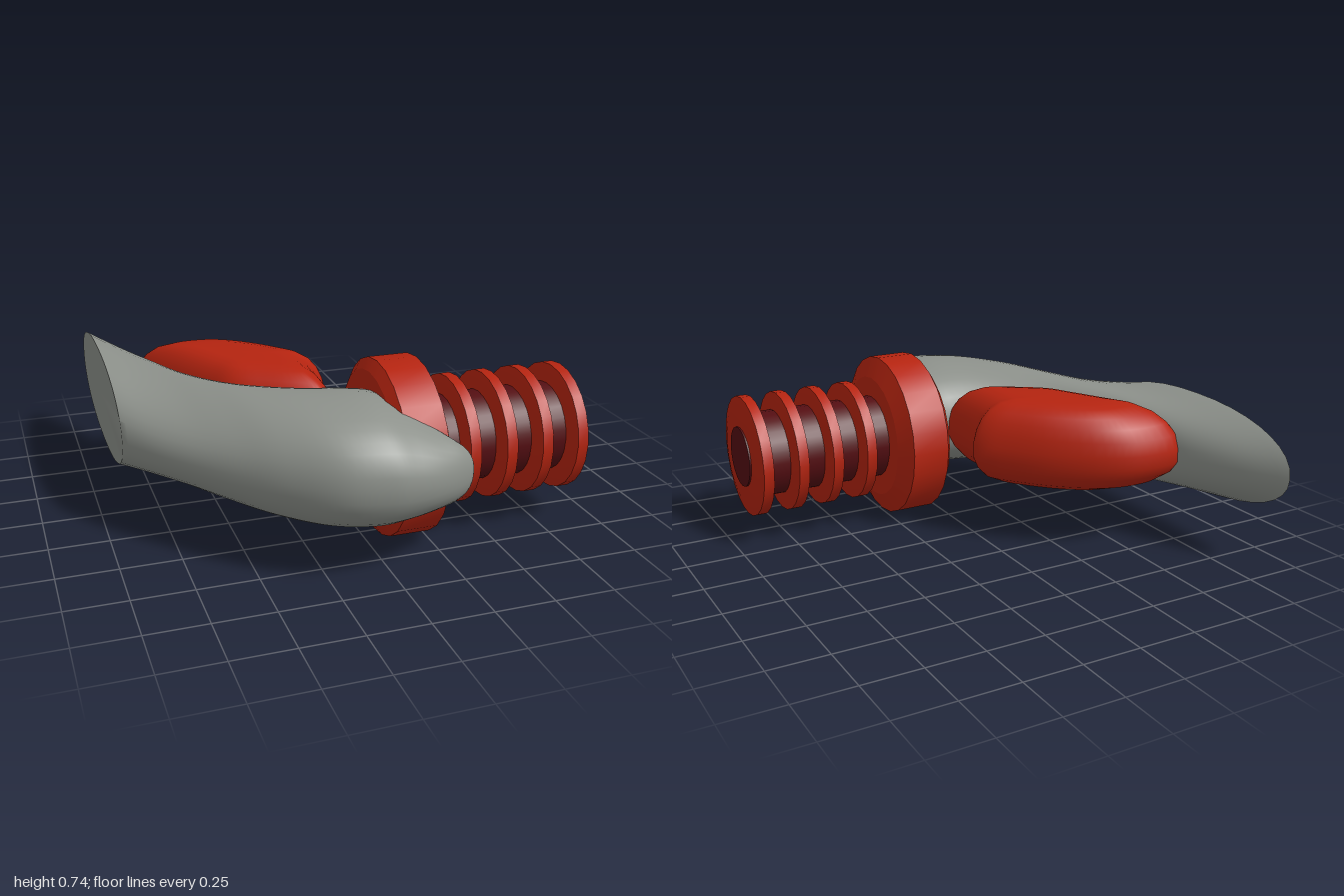
import * as THREE from 'three';
import { toCreasedNormals } from 'three/addons/utils/BufferGeometryUtils.js';

const material = (name, color) => {
  const m = new THREE.MeshStandardMaterial({ color });
  m.name = name;
  return m;
};

// Skins a stack of closed rings and closes both ends
function loft(rings, crease) {
  const n = rings[0].length;
  const points = rings.flat();
  const index = [];
  for (let i = 0; i < rings.length - 1; i++) {
    for (let j = 0; j < n; j++) {
      const a = i * n + j, b = i * n + (j + 1) % n;
      index.push(a, a + n, b, b, a + n, b + n);
    }
  }
  const addCap = (start, flip) => {
    const centre = new THREE.Vector3();
    for (let j = 0; j < n; j++) centre.addScaledVector(points[start + j], 1 / n);
    const c = points.push(centre) - 1;
    for (let j = 0; j < n; j++) {
      const a = start + j, b = start + (j + 1) % n;
      if (flip) index.push(c, b, a);
      else index.push(c, a, b);
    }
  };
  addCap(0, false);
  addCap((rings.length - 1) * n, true);
  const geo = new THREE.BufferGeometry().setFromPoints(points);
  geo.setIndex(index);
  return toCreasedNormals(geo, crease);
}

// Turned part along the x axis from [x, radius] pairs
function turned(profile) {
  const pts = profile.map(([x, r]) => new THREE.Vector2(r, x));
  const geo = new THREE.LatheGeometry(pts, 24);
  geo.rotateZ(-Math.PI / 2);
  return toCreasedNormals(geo, 0.35);
}

export function createModel() {
  const group = new THREE.Group();
  const grey = material('grey', 0x8d918b);
  const red = material('red', 0xb52410);
  const darkRed = material('dark red', 0x540e12);

  const add = (name, geo, mat, parent = group) => {
    const mesh = new THREE.Mesh(geo, mat);
    mesh.name = name;
    parent.add(mesh);
    return mesh;
  };

  // Curved body: outer x, z, inner x, z, top, bottom of each section
  const sections = [
    [-0.92, 0.22, -0.92, -1.0, 0.63, 0.195],
    [-0.82, 0.36, -0.80, -0.77, 0.605, 0.212],
    [-0.70, 0.51, -0.715, -0.56, 0.60, 0.215],
    [-0.55, 0.68, -0.62, -0.25, 0.615, 0.205],
    [-0.40, 0.83, -0.47, 0.03, 0.64, 0.19],
    [-0.22, 0.96, -0.25, 0.22, 0.66, 0.175],
    [-0.05, 1.0, -0.05, 0.29, 0.66, 0.17],
    [0.05, 0.995, 0.06, 0.28, 0.63, 0.18],
    [0.16, 0.97, 0.15, 0.50, 0.575, 0.22],
    [0.27, 0.92, 0.20, 0.72, 0.525, 0.26],
    [0.32, 0.88, 0.23, 0.77, 0.49, 0.285],
    [0.34, 0.83, 0.25, 0.78, 0.45, 0.32],
    [0.325, 0.785, 0.27, 0.772, 0.40, 0.355],
  ];
  const outer = new THREE.CatmullRomCurve3(sections.map(s => new THREE.Vector3(s[0], s[4], s[1])));
  const inner = new THREE.CatmullRomCurve3(sections.map(s => new THREE.Vector3(s[2], s[5], s[3])));
  const soften = v => Math.sign(v) * Math.abs(v) ** 0.9;
  const bodyRings = [];
  for (let i = 0; i <= 60; i++) {
    const o = outer.getPoint(i / 60), p = inner.getPoint(i / 60);
    const ring = [];
    for (let j = 0; j < 36; j++) {
      const a = j / 36 * Math.PI * 2;
      const c = soften(Math.cos(a)) / 2, s = soften(Math.sin(a)) / 2;
      ring.push(new THREE.Vector3(
        (o.x + p.x) / 2 + (o.x - p.x) * c,
        (o.y + p.y) / 2 + (o.y - p.y) * s,
        (o.z + p.z) / 2 + (o.z - p.z) * c));
    }
    bodyRings.push(ring);
  }
  add('curvedBody', loft(bodyRings, 0.8), grey);

  // Pillow-shaped wedge in the hollow of the body
  const outline = new THREE.CatmullRomCurve3([
    [-0.745, -0.50], [-0.71, -0.54], [-0.52, -0.55], [-0.38, -0.50], [-0.20, -0.36],
    [-0.05, -0.19], [0.015, -0.10], [0.03, -0.05], [0, 0], [-0.02, 0.12], [-0.025, 0.29],
    [-0.06, 0.34], [-0.14, 0.32], [-0.30, 0.22], [-0.45, 0.10], [-0.53, -0.05], [-0.65, -0.29],
  ].map(([x, z]) => new THREE.Vector3(x, 0, z)), true).getPoints(72).slice(0, -1);
  const layers = [
    [0.245, 0.4], [0.255, 0.62], [0.285, 0.82], [0.33, 0.94], [0.38, 1], [0.44, 1],
    [0.50, 0.96], [0.55, 0.89], [0.59, 0.79], [0.62, 0.64], [0.63, 0.45],
  ];
  const wedgeRings = layers.map(([y, s]) => outline.map(p =>
    new THREE.Vector3(-0.31 + (p.x + 0.31) * s, y, -0.11 + (p.z + 0.11) * s)));
  add('wedge', loft(wedgeRings, 1.0), red);

  // Ribbed connector
  const connector = new THREE.Group();
  connector.name = 'connector';
  connector.position.set(0, 0.37, 0.48);
  group.add(connector);
  add('collar', turned([
    [0.04, 0], [0.04, 0.325], [0.07, 0.37], [0.24, 0.37], [0.28, 0.28], [0.28, 0],
  ]), red, connector);
  add('stem', turned([[0.27, 0], [0.27, 0.19], [0.9, 0.19], [0.9, 0]]), darkRed, connector);
  for (let i = 0; i < 4; i++) {
    const x = 0.363 + i * 0.16;
    add('rib', turned([
      [x, 0], [x, 0.215], [x + 0.012, 0.27], [x + 0.058, 0.27], [x + 0.07, 0.215], [x + 0.07, 0],
    ]), red, connector);
  }
  add('endDisc', turned([[0.912, 0], [0.912, 0.135], [0.92, 0.135], [0.92, 0]]), darkRed, connector);

  return group;
}
